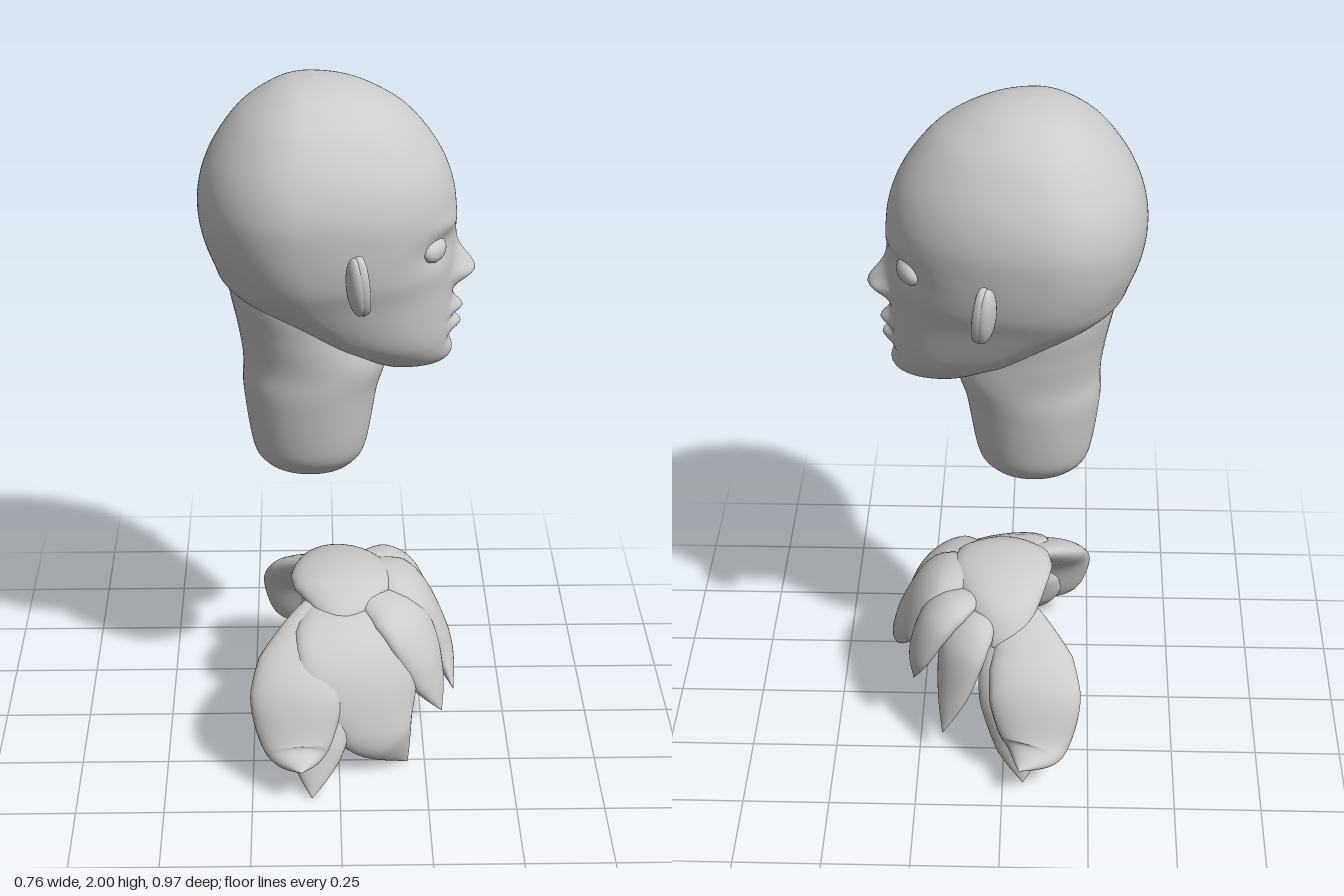
import * as THREE from 'three';

const material = new THREE.MeshStandardMaterial({ color: 0xcccccc, side: THREE.DoubleSide });
const gauss = (v, centre, spread) => Math.exp(-0.5 * ((v - centre) / spread) ** 2);

function addMesh(parent, name, geometry) {
  const mesh = new THREE.Mesh(geometry, material);
  mesh.name = name;
  parent.add(mesh);
  return mesh;
}

// Skin a grid of closed rings, given point(row 0..1, angle)
function loft(rows, segments, point) {
  const positions = [], indices = [];
  for (let i = 0; i <= rows; i++) {
    for (let j = 0; j < segments; j++) {
      positions.push(...point(i / rows, (j / segments) * Math.PI * 2).toArray());
      if (i === rows) continue;
      const a = i * segments + j, b = i * segments + (j + 1) % segments;
      indices.push(a, b, a + segments, b, b + segments, a + segments);
    }
  }
  const geometry = new THREE.BufferGeometry();
  geometry.setAttribute('position', new THREE.Float32BufferAttribute(positions, 3));
  geometry.setIndex(indices);
  geometry.computeVertexNormals();
  return geometry;
}

// Egg-shaped sections [height, back x, front x, half width];
// widest sets how far from back to front each section is broadest
function sectionLoft(sections, widest, rows, segments, relief = () => 0) {
  const curve = pick => new THREE.CatmullRomCurve3(sections.map(pick), false, 'catmullrom', 0.5);
  const profile = curve(s => new THREE.Vector3(s[1], s[0], s[2]));
  const breadth = curve(s => new THREE.Vector3(s[3], 0, 0));
  return loft(rows, segments, (t, u) => {
    const { x: back, y, z: front } = profile.getPoint(t);
    const angle = u - 0.6 * Math.sin(u); // denser at the face
    const c = Math.cos(angle);
    const z = Math.max(0, breadth.getPoint(t).x) * Math.sin(angle);
    let x = back + (front - back) * (widest + c * (c > 0 ? 1 - widest : widest));
    if (c > 0) x += relief(y, Math.abs(z)) * Math.min(1, c * 2);
    return new THREE.Vector3(x, y, z);
  });
}

// Facial relief: nose ridge plus soft bumps and hollows, alike on both sides
function faceRelief(y, z) {
  const bump = (height, offset, tall, wide, depth) => depth * gauss(y, height, tall) * gauss(z, offset, wide);
  const nose = bump(1.457, 0, y > 1.457 ? 0.042 : 0.02, 0.027, 0.06) + bump(1.445, 0.036, 0.018, 0.014, 0.022);
  const brows = bump(1.62, 0.11, 0.02, 0.05, 0.01);
  const sockets = bump(1.565, 0.14, 0.034, 0.048, -0.018);
  const lips = bump(1.347, 0, 0.014, 0.03, 0.028) + bump(1.297, 0, 0.016, 0.027, 0.024);
  const mouthLine = bump(1.322, 0, 0.006, 0.036, -0.014);
  const chin = bump(1.262, 0, 0.015, 0.04, -0.012) + bump(1.215, 0, 0.022, 0.045, 0.008);
  return nose + brows + sockets + lips + mouthLine + chin;
}

// A flattened lock of hair: swells from a rounded root, then tapers to a tip.
// turn is the heading of its width, from x (0) to z (a quarter turn)
function lock(points, width, turn) {
  const path = new THREE.CatmullRomCurve3(points.map(p => new THREE.Vector3(...p)));
  const side = new THREE.Vector3(Math.cos(turn), 0, Math.sin(turn));
  return loft(36, 28, (t, u) => {
    const tangent = path.getTangent(t);
    const across = side.clone().addScaledVector(tangent, -tangent.dot(side)).normalize();
    const normal = new THREE.Vector3().crossVectors(tangent, across);
    const root = Math.sqrt(Math.min(1, t * 4));
    const swell = 0.75 + 0.25 * Math.min(1, t / 0.4);
    const taper = 1 - Math.max(0, (t - 0.35) / 0.65) ** 1.5;
    const w = width * root * swell * taper;
    return path.getPoint(t)
      .addScaledVector(across, w * Math.cos(u))
      .addScaledVector(normal, Math.min(w * 0.5, 0.045 * root) * Math.sin(u));
  });
}

function buildHead() {
  const head = new THREE.Group();
  head.name = 'head';

  // Skull, face and jaw
  addMesh(head, 'skullAndFace', sectionLoft([
    [2.0, -0.06, -0.06, 0],
    [1.99, -0.14, 0.03, 0.09],
    [1.96, -0.205, 0.11, 0.165],
    [1.9, -0.28, 0.2, 0.238],
    [1.8, -0.347, 0.277, 0.3],
    [1.7, -0.378, 0.315, 0.325],
    [1.6, -0.376, 0.322, 0.318],
    [1.5, -0.345, 0.318, 0.295],
    [1.42, -0.298, 0.317, 0.258],
    [1.3, -0.12, 0.318, 0.195],
    [1.24, 0, 0.314, 0.145],
    [1.195, 0.08, 0.302, 0.088],
    [1.175, 0.13, 0.264, 0.045],
    [1.17, 0.2, 0.2, 0],
  ], 0.39, 180, 150, faceRelief));

  // Neck, rising inside the skull and rounded off at the base
  addMesh(head, 'neck', sectionLoft([
    [1.66, -0.15, -0.15, 0],
    [1.52, -0.31, 0, 0.16],
    [1.42, -0.303, 0.05, 0.2],
    [1.3, -0.279, 0.1, 0.19],
    [1.2, -0.265, 0.135, 0.177],
    [1.1, -0.265, 0.11, 0.166],
    [0.93, -0.24, 0.08, 0.13],
    [0.87, -0.205, 0.045, 0.09],
    [0.845, -0.155, 0, 0.055],
    [0.835, -0.08, -0.08, 0],
  ], 0.5, 90, 64));

  // Eyes and ears, mirrored across z
  for (const s of [1, -1]) {
    const label = s > 0 ? 'near' : 'far';
    const eye = addMesh(head, label + 'Eye', new THREE.SphereGeometry(1, 32, 20));
    eye.scale.set(0.028, 0.034, 0.054);
    eye.position.set(0.255, 1.562, s * 0.139);
    eye.rotation.y = -s * 0.45;

    const ear = new THREE.Group();
    ear.name = label + 'Ear';
    ear.position.set(0.045, 1.527, s * 0.315);
    ear.rotation.set(s * 0.2, s * 0.3, 0.08);
    head.add(ear);
    const shell = addMesh(ear, 'earShell', new THREE.SphereGeometry(1, 28, 20));
    shell.scale.set(0.028, 0.09, 0.042);
    const rim = addMesh(ear, 'earRim', new THREE.TorusGeometry(1, 0.2, 12, 40));
    rim.rotation.y = Math.PI / 2;
    rim.scale.set(0.036, 0.077, 0.07);
    rim.position.x = 0.012;
  }
  return head;
}

function buildHair() {
  const hair = new THREE.Group();
  hair.name = 'hair';
  const add = (name, width, turn, ...path) => addMesh(hair, name, lock(path, width, turn));

  // Crown running over the top to the far side
  add('crown', 0.15, 0, [0, 0.44, 0.2], [0.01, 0.485, 0.04], [0, 0.45, -0.15], [-0.02, 0.3, -0.29]);

  // Flicked-out locks at both ends of the arch
  for (const s of [1, -1]) {
    const shift = s > 0 ? 0 : 0.03;
    add(s > 0 ? 'nearFlick' : 'farFlick', 0.135, 0,
      [shift - 0.06, 0.47, s * 0.1], [shift - 0.12, 0.3, s * 0.32],
      [shift - 0.12, 0.13, s * 0.4], [shift * 2 - 0.11, 0.12, s * 0.487]);
  }

  // Long side locks
  add('nearSideLock', 0.185, -0.35, [0.01, 0.485, -0.03], [0.05, 0.37, 0.24], [0.11, 0.16, 0.3], [0.2, 0, 0.26]);
  add('nearLowerLock', 0.1, 0, [-0.08, 0.32, 0.3], [-0.07, 0.13, 0.36], [-0.08, 0, 0.44]);
  add('farSideLock', 0.11, 0.3, [-0.01, 0.47, -0.1], [-0.03, 0.28, -0.3], [-0.05, 0.1, -0.36], [-0.06, 0.01, -0.41]);

  // Fringe across the brow, then the strands at the temple
  add('middleFringe', 0.12, 1.57, [0.04, 0.485, -0.05], [0.2, 0.44, -0.01], [0.3, 0.26, 0.03], [0.34, 0.16, 0.12]);
  add('nearFringe', 0.11, 2.1, [0.04, 0.485, 0.06], [0.19, 0.4, 0.15], [0.26, 0.24, 0.19], [0.3, 0.15, 0.22]);
  add('farFringe', 0.08, 1.15, [0.05, 0.48, -0.1], [0.18, 0.43, -0.16], [0.25, 0.3, -0.18], [0.27, 0.2, -0.17]);
  add('farTemple', 0.085, 0.75, [0.03, 0.47, -0.13], [0.11, 0.38, -0.22], [0.15, 0.22, -0.26], [0.18, 0.09, -0.29]);
  return hair;
}

export function createModel() {
  const model = new THREE.Group();
  model.name = 'headAndHair';
  model.add(buildHead(), buildHair());
  return model;
}
